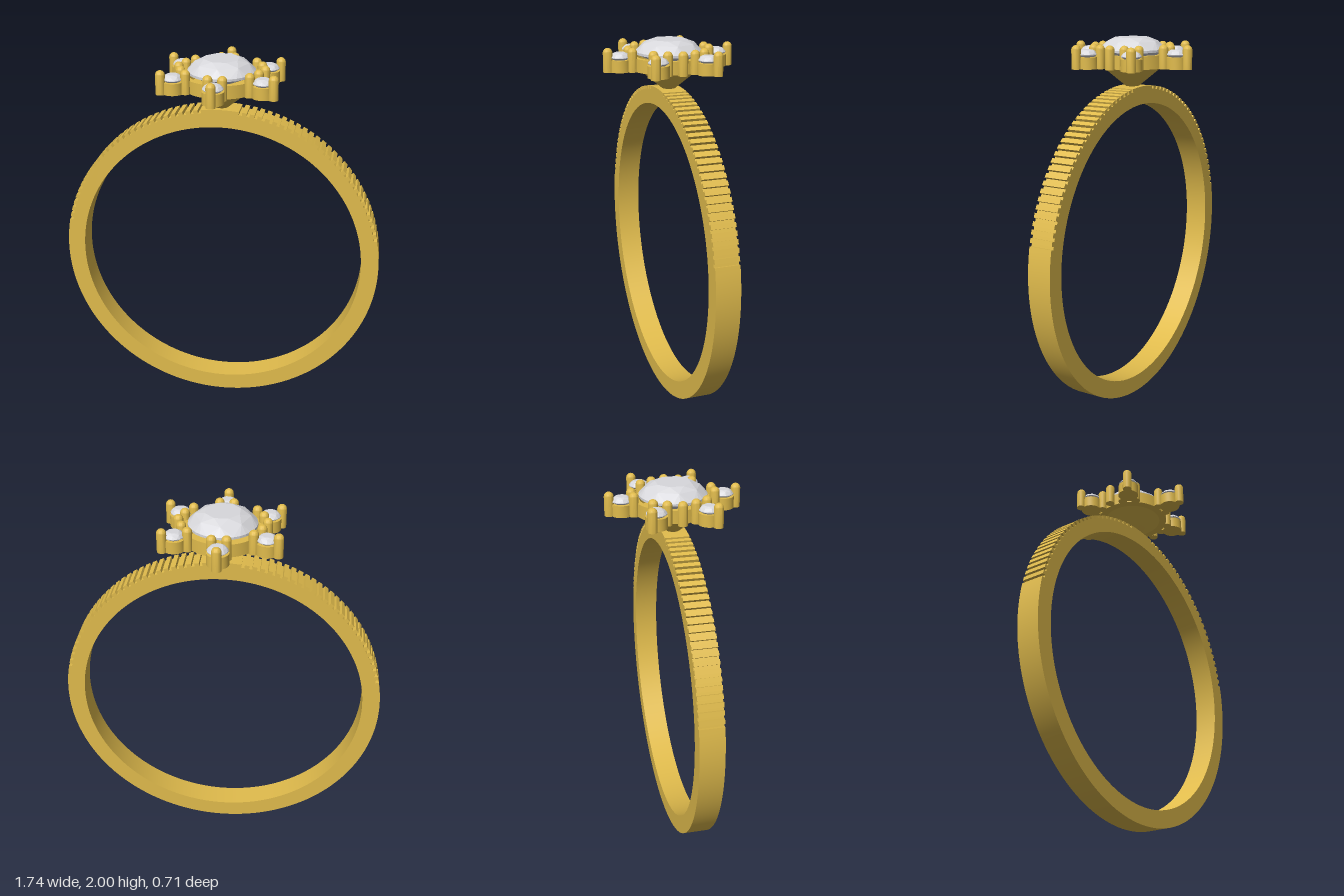
import * as THREE from 'three';
import { toCreasedNormals } from 'three/addons/utils/BufferGeometryUtils.js';
import { ConvexGeometry } from 'three/addons/geometries/ConvexGeometry.js';

const gold = new THREE.MeshStandardMaterial({ color: 0xe0bb4c });
gold.name = 'gold';
const crystal = new THREE.MeshStandardMaterial({ color: 0xd8d8dc });
crystal.name = 'crystal';

const DEG = Math.PI / 180;
const CENTER_Y = 0.872, OUTER = 0.872, INNER = 0.777, WIDTH = 0.13;
const BASE_Y = 1.846; // underside of the setting

function add(parent, name, geometry, material) {
  const mesh = new THREE.Mesh(geometry, material);
  mesh.name = name;
  parent.add(mesh);
  return mesh;
}

// Smooth turned part with crisp corners
function lathe(profile, segments) {
  const points = profile.map(([r, y]) => new THREE.Vector2(r, y));
  return toCreasedNormals(new THREE.LatheGeometry(points, segments), 0.5);
}

function ringPoints(count, radius, y, offset = 0) {
  return Array.from({ length: count }, (_, i) => {
    const a = offset + (i / count) * Math.PI * 2;
    return new THREE.Vector3(Math.sin(a) * radius, y, Math.cos(a) * radius);
  });
}

// Band: annulus with square grooves cut across both shoulders
function bandGeometry() {
  const polar = (r, deg) => new THREE.Vector2(Math.sin(deg * DEG) * r, Math.cos(deg * DEG) * r);
  const grooves = 27, first = 6.6, pitch = 2.7, width = 1.1, depth = 0.017;
  const shoulder = [];
  for (let i = 0; i < grooves; i++) {
    const a = first + i * pitch;
    shoulder.push([OUTER, a], [OUTER - depth, a], [OUTER - depth, a + width], [OUTER, a + width]);
  }
  const outline = [[OUTER, 0], [OUTER, 2.2], [OUTER, 4.4], ...shoulder];
  for (let a = 80; a <= 280; a += 2) outline.push([OUTER, a]);
  outline.push(...shoulder.map(([r, a]) => [r, 360 - a]).reverse(), [OUTER, 355.6], [OUTER, 357.8]);
  const shape = new THREE.Shape(outline.map(([r, a]) => polar(r, a)));
  // The hole runs against the outline so its wall faces the finger
  const hole = Array.from({ length: 144 }, (_, i) => polar(INNER, -i * 2.5));
  shape.holes.push(new THREE.Path(hole));
  const geometry = new THREE.ExtrudeGeometry(shape, { depth: WIDTH, bevelEnabled: false });
  geometry.translate(0, CENTER_Y, -WIDTH / 2);
  return toCreasedNormals(geometry, 0.4);
}

// Brilliant cut: octagonal table, star ring, round girdle and pointed pavilion
function gemGeometry(radius, girdleY, crown, pavilion, sides) {
  return new ConvexGeometry([
    ...ringPoints(8, radius * 0.53, girdleY + crown, Math.PI / 8),
    ...ringPoints(8, radius * 0.8, girdleY + crown * 0.66),
    ...ringPoints(sides, radius, girdleY),
    ...ringPoints(sides, radius, girdleY - radius * 0.07),
    new THREE.Vector3(0, girdleY - pavilion, 0),
  ]);
}

// Round-topped claw standing on the setting's underside
const CLAW_R = 0.025, CLAW_TOP = 1.97;
const clawProfile = [[0, BASE_Y], [CLAW_R, BASE_Y]];
for (let i = 0; i <= 8; i++) {
  const a = (i / 8) * Math.PI / 2;
  clawProfile.push([Math.cos(a) * CLAW_R, CLAW_TOP - CLAW_R + Math.sin(a) * CLAW_R]);
}
const clawGeometry = lathe(clawProfile, 20);

function addClaw(parent, name, radius, angle) {
  add(parent, name, clawGeometry, gold)
    .position.set(Math.sin(angle) * radius, 0, Math.cos(angle) * radius);
}

export function createModel() {
  const model = new THREE.Group();
  model.name = 'ring';
  add(model, 'band', bandGeometry(), gold);

  const head = new THREE.Group();
  head.name = 'head';
  model.add(head);

  // Conical support and main collar
  add(head, 'supportCone', lathe([[0, 1.735], [0.025, 1.735], [0.16, BASE_Y], [0, BASE_Y]], 48), gold);
  add(head, 'mainCollar', lathe([
    [0, BASE_Y], [0.2, BASE_Y], [0.2, 1.915], [0.172, 1.915], [0.155, 1.87], [0, 1.87],
  ], 64), gold);
  add(head, 'mainStone', gemGeometry(0.176, 1.94, 0.06, 0.09, 32), crystal);

  // Six small stones in cups, each with two inner claws and one outer claw
  const cup = lathe([[0, BASE_Y], [0.056, BASE_Y], [0.056, 1.908], [0, 1.908]], 32);
  const smallGem = gemGeometry(0.053, 1.922, 0.022, 0.04, 16);
  for (let i = 0; i < 6; i++) {
    const angle = i * Math.PI / 3;
    const petal = new THREE.Group();
    petal.name = 'petal' + (i + 1);
    head.add(petal);
    const x = Math.sin(angle) * 0.265, z = Math.cos(angle) * 0.265;
    add(petal, 'smallCup', cup, gold).position.set(x, 0, z);
    add(petal, 'smallStone', smallGem, crystal).position.set(x, 0, z);
    addClaw(petal, 'outerClaw', 0.33, angle);
    for (const side of [-1, 1]) addClaw(petal, 'innerClaw', 0.213, angle + side * 10 * DEG);
  }

  // Single claws over the band shoulders
  for (const side of [-1, 1]) addClaw(head, 'sideClaw', 0.224, side * Math.PI / 2);
  return model;
}
